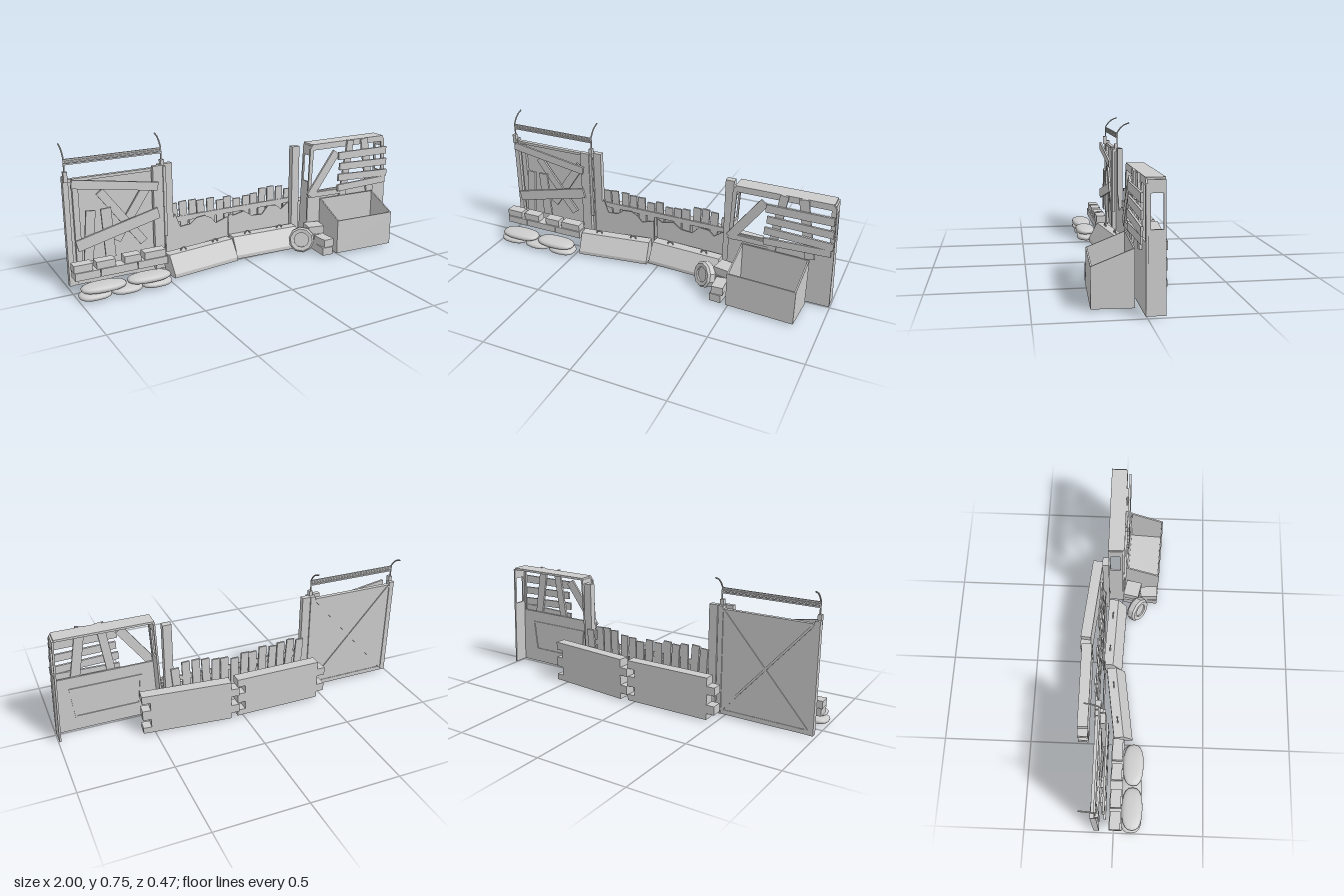
import * as THREE from 'three';

const mat = new THREE.MeshStandardMaterial({ color: 0xcccccc, flatShading: true, side: THREE.DoubleSide });
const smooth = new THREE.MeshStandardMaterial({ color: 0xcccccc });

function add(parent, name, geo, x = 0, y = 0, z = 0, m = mat) {
  const mesh = new THREE.Mesh(geo, m);
  mesh.name = name;
  mesh.position.set(x, y, z);
  parent.add(mesh);
  return mesh;
}
function group(parent, name) {
  const g = new THREE.Group();
  g.name = name;
  parent.add(g);
  return g;
}
// box from its extents
function block(parent, name, x0, x1, y0, y1, z0, z1) {
  return add(parent, name, new THREE.BoxGeometry(x1 - x0, y1 - y0, z1 - z0), (x0 + x1) / 2, (y0 + y1) / 2, (z0 + z1) / 2);
}
// board between two points of a vertical plane
function plank(parent, name, x1, y1, x2, y2, w, z, d = 0.012) {
  const m = add(parent, name, new THREE.BoxGeometry(Math.hypot(x2 - x1, y2 - y1), w, d), (x1 + x2) / 2, (y1 + y2) / 2, z);
  m.rotation.z = Math.atan2(y2 - y1, x2 - x1);
  return m;
}
// extruded outline with optional holes
function plate(points, depth, holes = []) {
  const toV = (a) => a.map(([x, y]) => new THREE.Vector2(x, y));
  const s = new THREE.Shape(toV(points));
  for (const h of holes) s.holes.push(new THREE.Path(toV(h)));
  return new THREE.ExtrudeGeometry(s, { depth, bevelEnabled: false });
}

function gate(root) {
  const g = group(root, 'sheetMetalGate');
  block(g, 'gatePanel', -0.97, -0.47, 0.02, 0.575, -0.105, -0.099);
  for (const x of [-0.977, -0.465]) block(g, 'gatePost', x - 0.014, x + 0.014, 0.01, 0.595, -0.11, -0.08);
  block(g, 'gateRailBottom', -0.97, -0.47, 0.01, 0.035, -0.108, -0.085);
  block(g, 'gateRailTop', -0.97, -0.47, 0.565, 0.58, -0.108, -0.085);
  plank(g, 'gateBrace', -0.96, 0.03, -0.48, 0.575, 0.012, -0.107, 0.006);
  plank(g, 'gateBrace', -0.96, 0.575, -0.48, 0.03, 0.012, -0.108, 0.006);
  // boards nailed and leaned on the front
  plank(g, 'gateBoard', -0.96, 0.565, -0.5, 0.49, 0.045, -0.045);
  plank(g, 'gateBoard', -0.95, 0.235, -0.5, 0.345, 0.06, -0.045);
  plank(g, 'gateBoard', -0.81, 0.5, -0.58, 0.19, 0.045, -0.07);
  plank(g, 'gateBoard', -0.54, 0.5, -0.73, 0.22, 0.05, -0.08);
  plank(g, 'gateBoard', -0.89, 0.14, -0.865, 0.41, 0.05, -0.06);
  plank(g, 'gateBoard', -0.77, 0.14, -0.785, 0.41, 0.055, -0.06);
  block(g, 'gateBoard', -0.945, -0.915, 0.02, 0.57, -0.097, -0.08);
  block(g, 'timberPost', -0.52, -0.465, 0.02, 0.597, -0.08, -0.055);
  block(g, 'timberPost', -0.447, -0.4, 0.02, 0.597, -0.11, -0.08);
  block(g, 'timberPost', -0.462, -0.446, 0.2, 0.59, -0.07, -0.055);
  // bent arms carrying the top bars
  const bend = [[0.57, -0.085], [0.69, -0.085], [0.717, -0.105], [0.736, -0.127], [0.749, -0.16]];
  const path = new THREE.CurvePath();
  for (let i = 1; i < bend.length; i++) {
    path.add(new THREE.LineCurve3(new THREE.Vector3(0, ...bend[i - 1]), new THREE.Vector3(0, ...bend[i])));
  }
  for (const x of [-0.978, -0.46]) {
    add(g, 'bentArm', new THREE.TubeGeometry(path, 24, 0.004, 6), x);
    block(g, 'armBracket', x - 0.01, x + 0.01, 0.57, 0.623, -0.09, -0.067);
  }
  for (const y of [0.66, 0.672, 0.682]) block(g, 'topBar', -0.978, -0.46, y - 0.004, y + 0.004, -0.09, -0.08);
}

function sandbagsAndBlocks(root) {
  const bags = group(root, 'sandbags');
  const bag = new THREE.SphereGeometry(1, 20, 12);
  // square the sphere off into a stuffed pillow
  const p = bag.attributes.position;
  const puff = (v) => Math.sign(v) * Math.abs(v) ** 0.8;
  for (let i = 0; i < p.count; i++) p.setXYZ(i, puff(p.getX(i)), puff(p.getY(i)), puff(p.getZ(i)));
  bag.computeVertexNormals();
  for (const x of [-0.915, -0.75, -0.585]) add(bags, 'lowerSandbag', bag, x, 0.021, 0.095, smooth).scale.set(0.084, 0.02, 0.06);
  for (const x of [-0.87, -0.625]) add(bags, 'upperSandbag', bag, x, 0.058, 0.1, smooth).scale.set(0.118, 0.022, 0.058);
  const stack = group(root, 'blockWall');
  for (const [a, b] of [[-0.995, -0.86], [-0.86, -0.66], [-0.66, -0.49]]) block(stack, 'wallBlock', a, b - 0.004, 0.085, 0.126, -0.025, 0.045);
  for (const [a, b] of [[-0.998, -0.9], [-0.88, -0.78], [-0.73, -0.64], [-0.62, -0.5]]) block(stack, 'wallBlock', a, b, 0.126, 0.165, -0.02, 0.038);
}

function kerbs(root) {
  // sloped concrete barriers with lifting loops
  const profile = [[-0.05, 0], [0.057, 0], [0.057, 0.02], [0.004, 0.115], [-0.05, 0.115]];
  for (const [x, z, rot] of [[-0.275, 0.005, 0.14], [0.155, -0.035, -0.04]]) {
    const k = group(root, 'concreteKerb');
    k.position.set(x, 0.01, z);
    k.rotation.y = rot;
    const geo = plate(profile, 0.415);
    geo.rotateY(-Math.PI / 2);
    geo.translate(0.2075, 0, 0);
    add(k, 'kerbBody', geo);
    for (const lx of [-0.105, 0.105]) add(k, 'liftingLoop', new THREE.TorusGeometry(0.016, 0.004, 6, 10, Math.PI), lx, 0.115, -0.02);
  }
}

function fence(root) {
  const g = group(root, 'picketFence');
  const tops = [0.355, 0.363, 0.36, 0.35, 0.355, 0.335, 0.345, 0.325, 0.335, 0.34, 0.36, 0.365, 0.36, 0.335];
  tops.forEach((t, i) => {
    const x = -0.375 + i * 0.0555;
    const lean = 0.009 - i * 0.0013 + Math.sin(i * 2.3) * 0.004;
    plank(g, 'picket', x + lean, 0.03, x - lean, t, 0.045, -0.121 + 0.006 * Math.sin(i * 1.7), 0.01);
  });
  for (const y of [0.09, 0.25]) block(g, 'fenceRail', -0.4, 0.37, y, y + 0.03, -0.115, -0.107);
  // torn metal sheets in front of the pickets
  const left = [[-0.45, 0.02], [-0.06, 0.02], [-0.065, 0.24], [-0.14, 0.215], [-0.17, 0.25], [-0.21, 0.27], [-0.26, 0.265],
    [-0.3, 0.235], [-0.36, 0.23], [-0.39, 0.31], [-0.42, 0.24]];
  const right = [[-0.055, 0.02], [0.36, 0.02], [0.355, 0.26], [0.3, 0.22], [0.27, 0.25], [0.21, 0.255], [0.17, 0.21], [0.1, 0.215],
    [0.05, 0.25], [-0.02, 0.235], [-0.05, 0.25]];
  add(g, 'tornSheet', plate(left, 0.005), 0, 0, -0.085);
  add(g, 'tornSheet', plate(right, 0.005), 0, 0, -0.1);
  block(root, 'centrePost', 0.362, 0.41, 0.01, 0.595, -0.11, -0.075);
}

function notchedBarriers(root) {
  // concrete slabs with interlocking teeth on both ends
  const edges = [0.01, 0.045, 0.093, 0.15, 0.195, 0.24];
  const half = 0.268, right = [], left = [];
  for (let i = 0; i < 5; i++) {
    const r = half - (i % 2 ? 0.045 : 0), l = -half + (i % 2 ? 0 : 0.045);
    right.push([r, edges[i]], [r, edges[i + 1]]);
    left.push([l, edges[i]], [l, edges[i + 1]]);
  }
  const geo = plate([...right, ...left.reverse()], 0.06);
  geo.translate(0, 0, -0.03);
  add(root, 'notchedBarrier', geo, -0.233, 0, -0.192);
  add(root, 'notchedBarrier', geo, 0.296, 0, -0.179).rotation.y = -0.1;
}

function vehicleBody(root) {
  const g = group(root, 'vehicleTailSection');
  const outline = [[0.415, 0.01], [0.998, 0.01], [0.99, 0.3], [0.974, 0.59], [0.957, 0.615], [0.45, 0.615], [0.432, 0.59], [0.42, 0.3]];
  const windowHole = [[0.442, 0.335], [0.455, 0.58], [0.95, 0.58], [0.964, 0.335]];
  add(g, 'tailPanel', plate(outline, 0.01, [windowHole]), 0, 0, -0.002);
  // raised outline on the inner face
  const trim = [[0.525, 0.085], [0.885, 0.085], [0.905, 0.27], [0.505, 0.27]];
  const inner = [[0.535, 0.097], [0.875, 0.097], [0.892, 0.258], [0.518, 0.258]];
  add(g, 'panelTrim', plate(trim, 0.006, [inner]), 0, 0, -0.007);
  // returns running back along the sides, each with a small window
  const side = [[0, 0.01], [0.082, 0.01], [0.082, 0.605], [0, 0.605]];
  const pane = [[0.014, 0.39], [0.07, 0.39], [0.07, 0.547], [0.014, 0.547]];
  for (const s of [-1, 1]) {
    const geo = plate(side, 0.01, [pane]);
    geo.rotateY(Math.PI / 2);
    const p = geo.attributes.position;
    // lean the wall inward towards the roof
    for (let i = 0; i < p.count; i++) p.setX(i, p.getX(i) - s * p.getY(i) * 0.042);
    geo.computeVertexNormals();
    add(g, 'sideReturn', geo, s > 0 ? 0.987 : 0.416, 0, 0);
  }
  block(g, 'roofReturn', 0.445, 0.962, 0.603, 0.615, -0.082, 0.003);
  // boards across the window
  plank(g, 'windowBoard', 0.43, 0.31, 0.61, 0.555, 0.05, 0.014);
  plank(g, 'windowBoard', 0.62, 0.53, 0.975, 0.528, 0.045, 0.024);
  plank(g, 'windowBoard', 0.63, 0.465, 0.98, 0.455, 0.042, 0.024);
  plank(g, 'windowBoard', 0.62, 0.4, 0.985, 0.385, 0.042, 0.026);
  plank(g, 'windowBoard', 0.62, 0.335, 0.975, 0.345, 0.04, 0.024);
  plank(g, 'windowBoard', 0.66, 0.27, 0.71, 0.615, 0.045, 0.014);
  plank(g, 'windowBoard', 0.87, 0.28, 0.81, 0.615, 0.05, 0.014);
  plank(g, 'windowBoard', 0.42, 0.315, 0.66, 0.31, 0.03, 0.012);
}

function bin(root) {
  const g = group(root, 'openBin');
  g.position.set(0.682, 0, 0.125);
  g.rotation.y = -0.05;
  const w = 0.187, d = 0.1, t = 0.008;
  const side = plate([[-d, 0.01], [d, 0.01], [d, 0.206], [-d, 0.287]], t);
  side.rotateY(-Math.PI / 2);
  add(g, 'binSide', side, -w + t);
  add(g, 'binSide', side, w);
  block(g, 'binFront', -w, w, 0.01, 0.206, d - t, d);
  block(g, 'binBack', -w, w, 0.01, 0.287, -d, -d + t);
  block(g, 'binFloor', -w, w, 0.01, 0.018, -d, d);
}

function tyreAndBricks(root) {
  const tyre = group(root, 'tyre');
  tyre.position.set(0.325, 0.085, 0.093);
  tyre.rotation.set(-0.3, -0.6, 0);
  const ring = [[0.042, -0.025], [0.064, -0.028], [0.074, -0.016], [0.074, 0.016], [0.064, 0.028], [0.042, 0.025], [0.042, -0.025]];
  const geo = new THREE.LatheGeometry(ring.map(([x, y]) => new THREE.Vector2(x, y)), 10);
  geo.rotateX(Math.PI / 2);
  add(tyre, 'tyreRing', geo);
  add(tyre, 'wheelHub', new THREE.CylinderGeometry(0.043, 0.043, 0.03, 10).rotateX(Math.PI / 2));
  const s = group(root, 'brickStack');
  for (const [x, y, z, w, d, r] of [[0.435, 0.033, 0.13, 0.065, 0.165, -0.08], [0.425, 0.08, 0.058, 0.1, 0.09, -0.15],
    [0.435, 0.08, 0.16, 0.065, 0.1, 0.05], [0.43, 0.128, 0.06, 0.095, 0.09, -0.2]]) {
    add(s, 'brick', new THREE.BoxGeometry(w, 0.045, d), x, y, z).rotation.y = r;
  }
}

export function createModel() {
  const root = new THREE.Group();
  root.name = 'barricade';
  for (const build of [gate, sandbagsAndBlocks, kerbs, fence, notchedBarriers, vehicleBody, bin, tyreAndBricks]) build(root);
  return root;
}
